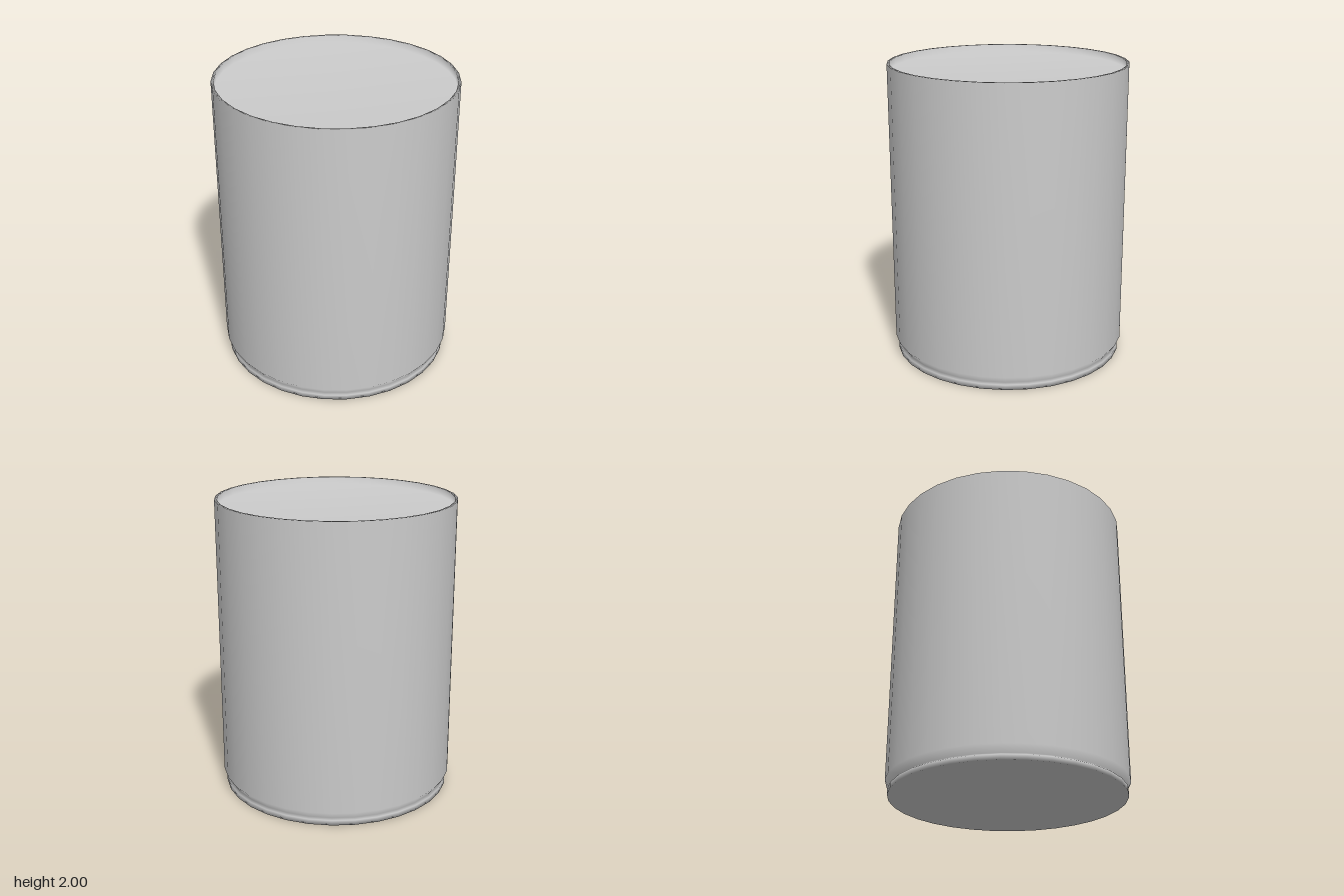
import * as THREE from 'three';

export function createModel() {
  const group = new THREE.Group();
  const material = new THREE.MeshStandardMaterial({ color: 0xcccccc });

  // Closed profile, from the centre of the base to the centre of the recessed top
  const profile = [
    [0, 0],
    [0.78, 0],      // base edge
    [0.78, 0.035],  // foot ring
    [0.765, 0.047], // groove
    [0.798, 0.095], // shoulder
    [0.798, 2],     // outer rim
    [0.78, 2],      // inner rim
    [0.78, 1.95],   // shallow recess
    [0, 1.95],
  ].map(([r, y]) => new THREE.Vector2(r, y));

  // Smooth-shaded can body with 32 sides
  const can = new THREE.Mesh(new THREE.LatheGeometry(profile, 32), material);
  can.name = 'canBody';
  group.add(can);

  return group;
}
